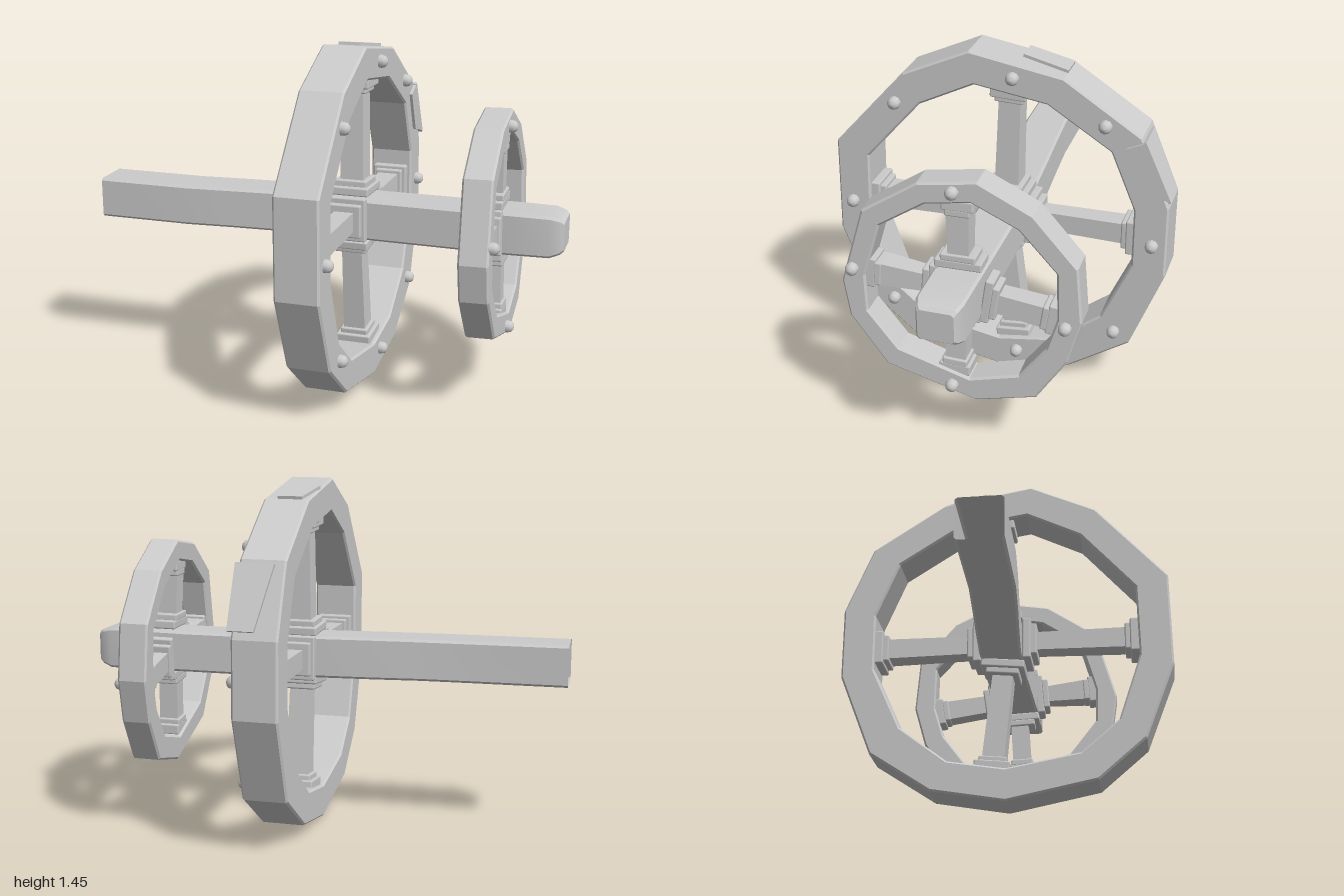
import * as THREE from 'three';
import { toCreasedNormals } from 'three/addons/utils/BufferGeometryUtils.js';
import { RoundedBoxGeometry } from 'three/addons/geometries/RoundedBoxGeometry.js';
import { ConvexGeometry } from 'three/addons/geometries/ConvexGeometry.js';

const grey = new THREE.MeshStandardMaterial({ color: 0xcccccc });
const greyOpen = new THREE.MeshStandardMaterial({ color: 0xcccccc, side: THREE.DoubleSide });
const HUB_Y = 0.72;

function add(parent, name, geometry, material = grey) {
  const mesh = new THREE.Mesh(geometry, material);
  mesh.name = name;
  parent.add(mesh);
  return mesh;
}

// Square beam lofted along x, open at the far end and capped at the tapered tip
function axleGeometry() {
  const sections = [ // x, centre y, centre z, half height, half width
    [-1, 0.72, 0.02, 0.086, 0.09], [-0.6, 0.72, 0.02, 0.086, 0.09],
    [-0.4, 0.722, 0.008, 0.086, 0.09], [-0.2, 0.722, -0.006, 0.087, 0.089],
    [0, 0.722, -0.018, 0.087, 0.088], [0.22, 0.716, -0.018, 0.086, 0.088],
    [0.6, 0.718, -0.012, 0.086, 0.092], [0.78, 0.72, -0.01, 0.088, 0.094],
    [0.945, 0.721, -0.01, 0.086, 0.092], [0.985, 0.723, -0.01, 0.074, 0.08],
    [1, 0.723, -0.01, 0.062, 0.07],
  ];
  const c = 0.01, pos = [], index = [];
  for (const [x, y, z, h, w] of sections) {
    for (const [sy, sz, first] of [[1, 1, 1], [1, -1, 0], [-1, -1, 1], [-1, 1, 0]]) {
      const a = [x, y + sy * (h - c), z + sz * w], b = [x, y + sy * h, z + sz * (w - c)];
      pos.push(...(first ? [...a, ...b] : [...b, ...a]));
    }
  }
  const n = 8, last = (sections.length - 1) * n;
  for (let s = 0; s < sections.length - 1; s++) {
    for (let i = 0; i < n; i++) {
      const a = s * n + i, b = s * n + (i + 1) % n;
      index.push(a, a + n, b, b, a + n, b + n);
    }
  }
  for (let i = 1; i < n - 1; i++) index.push(last, last + i + 1, last + i);
  // Corners run from +z over the top to -z, so reverse the winding to face outward
  for (let i = 0; i < index.length; i += 3) {
    const [a, b, d] = index.slice(i, i + 3).map(k => new THREE.Vector3().fromArray(pos, k * 3));
    const mid = a.clone().add(b).add(d).divideScalar(3);
    const normal = b.sub(a).cross(d.sub(a));
    if (normal.dot(mid.sub(new THREE.Vector3(Math.min(mid.x, 0.9), HUB_Y, 0))) < 0) {
      [index[i + 1], index[i + 2]] = [index[i + 2], index[i + 1]];
    }
  }
  const g = new THREE.BufferGeometry();
  g.setAttribute('position', new THREE.Float32BufferAttribute(pos, 3));
  g.setIndex(index);
  return toCreasedNormals(g, 0.4);
}

// Rim: irregular polygon with a matching hole and a small bevel
function rimGeometry(outer, inner, width) {
  const toPoints = list => list.map(([u, v]) => new THREE.Vector2(u, v - HUB_Y));
  const shape = new THREE.Shape(toPoints(outer));
  shape.holes.push(new THREE.Path(toPoints(inner)));
  const bevel = 0.008;
  const g = new THREE.ExtrudeGeometry(shape, {
    depth: width - 2 * bevel, bevelEnabled: true, bevelSize: bevel,
    bevelThickness: bevel, bevelOffset: -bevel, bevelSegments: 1,
  });
  return g.translate(0, 0, bevel - width / 2);
}

// Spoke running from the hub plates to the rim plates
function addSpoke(parent, hub, end, w0, w1, plate, depth) {
  const spoke = new THREE.Group();
  spoke.name = 'spoke';
  const dx = end[0] - hub[0], dy = end[1] - hub[1], length = Math.hypot(dx, dy);
  spoke.position.set(hub[0], hub[1] - HUB_Y, 0);
  spoke.rotation.z = Math.atan2(-dx, dy);
  const bar = new THREE.BoxGeometry(1, length, 1).translate(0, length / 2, 0);
  const p = bar.attributes.position;
  for (let i = 0; i < p.count; i++) {
    const w = p.getY(i) > length / 2 ? w1 : w0;
    p.setXYZ(i, p.getX(i) * w, p.getY(i), p.getZ(i) * w);
  }
  bar.computeVertexNormals();
  add(spoke, 'spokeBar', bar);
  const plates = [
    ['hubPlate', 0.006, 0.185, 0.036], ['hubStep', 0.034, 0.14, 0.03],
    ['rimPlate', length - 0.02, plate, 0.045], ['rimStep', length - 0.05, plate * 0.8, 0.03],
  ];
  for (const [name, y, w, h] of plates) {
    add(spoke, name, new RoundedBoxGeometry(w, h, Math.min(w, depth), 1, 0.007)).position.y = y;
  }
  parent.add(spoke);
}

// Domed bolt heads on the outer face
function addBolts(parent, spots, face, radius) {
  const profile = [[1, -0.4], [1, 0.4], [0.85, 0.9], [0.5, 1.2], [0, 1.3]]
    .map(([r, h]) => new THREE.Vector2(r * radius, h * radius));
  const dome = new THREE.LatheGeometry(profile, 10).rotateX(Math.PI / 2);
  for (const [u, v] of spots) add(parent, 'bolt', dome).position.set(u, v - HUB_Y, face);
}

// Wheel is laid out in its own plane, then turned so its face looks along +x
function makeWheel(name, x, tilt, o) {
  const wheel = new THREE.Group(), plane = new THREE.Group();
  wheel.name = name;
  plane.name = name + 'Plane';
  wheel.position.set(x, HUB_Y, 0);
  wheel.rotation.y = Math.PI / 2;
  plane.rotation.set(tilt[0], tilt[1], 0);
  wheel.add(plane);
  add(plane, 'rim', rimGeometry(o.outer, o.inner, o.width));
  for (const [hub, end, w0, w1] of o.spokes) addSpoke(plane, hub, end, w0, w1, o.plate, o.width - 0.02);
  addBolts(plane, o.bolts, o.width / 2, o.boltRadius);
  return { wheel, plane };
}

// Thin plate spanned by four corners and thickened along a direction
function addPatch(parent, name, corners, offset) {
  const d = new THREE.Vector3(...offset);
  const base = corners.map(([u, v, w]) => new THREE.Vector3(u, v - HUB_Y, w));
  add(parent, name, new ConvexGeometry([...base, ...base.map(p => p.clone().add(d))]));
}

export function createModel() {
  const model = new THREE.Group();
  model.name = 'axleWithWheels';
  add(model, 'axle', axleGeometry(), greyOpen);

  const large = makeWheel('largeWheel', 0.112, [-0.007, -0.014], {
    width: 0.185, plate: 0.15, boltRadius: 0.027,
    outer: [[-0.12, 1.45], [-0.4, 1.32], [-0.7, 0.98], [-0.705, 0.57], [-0.58, 0.25], [-0.38, 0.08], [0, 0.005],
      [0.31, 0.06], [0.565, 0.23], [0.7, 0.58], [0.7, 0.89], [0.58, 1.18], [0.265, 1.385]],
    inner: [[-0.1, 1.31], [-0.33, 1.195], [-0.56, 0.93], [-0.565, 0.615], [-0.47, 0.335], [-0.31, 0.2], [0, 0.145],
      [0.24, 0.185], [0.44, 0.34], [0.56, 0.61], [0.56, 0.86], [0.46, 1.1], [0.2, 1.265]],
    spokes: [[[0.02, 0.825], [0.035, 1.3], 0.1, 0.088], [[-0.085, 0.725], [-0.57, 0.72], 0.08, 0.09],
      [[0.115, 0.72], [0.57, 0.72], 0.08, 0.09], [[0.01, 0.62], [0.06, 0.145], 0.085, 0.095]],
    bolts: [[0.06, 1.36], [-0.435, 1.19], [0.435, 1.21], [-0.64, 0.71], [0.64, 0.715],
      [-0.473, 0.258], [0.5, 0.28], [0.08, 0.096]],
  });
  model.add(large.wheel);

  const small = makeWheel('smallWheel', 0.705, [-0.022, 0.024], {
    width: 0.12, plate: 0.125, boltRadius: 0.026,
    outer: [[0.09, 1.195], [-0.14, 1.16], [-0.36, 1.015], [-0.45, 0.7], [-0.425, 0.545], [-0.28, 0.345], [0.08, 0.24],
      [0.32, 0.3], [0.44, 0.485], [0.49, 0.665], [0.47, 0.895], [0.3, 1.09]],
    inner: [[0.065, 1.105], [-0.11, 1.077], [-0.29, 0.96], [-0.355, 0.735], [-0.35, 0.58], [-0.23, 0.427], [0.055, 0.338],
      [0.25, 0.39], [0.355, 0.53], [0.395, 0.665], [0.39, 0.86], [0.245, 1.02]],
    spokes: [[[0.01, 0.825], [0.01, 1.1], 0.08, 0.09], [[-0.085, 0.725], [-0.36, 0.745], 0.07, 0.1],
      [[0.115, 0.69], [0.395, 0.65], 0.08, 0.09], [[0.005, 0.62], [-0.01, 0.345], 0.08, 0.08]],
    bolts: [[-0.003, 1.142], [-0.404, 0.761], [0.427, 0.638], [-0.014, 0.3]],
  });
  model.add(small.wheel);

  // Repair plates on the large rim: one folded over its edge, one on top
  addPatch(large.plane, 'facePatch',
    [[0.52, 1.13, 0.09], [0.597, 1.165, 0.09], [0.708, 0.925, 0.09], [0.585, 0.96, 0.09]], [0, 0, 0.015]);
  addPatch(large.plane, 'edgePatch',
    [[0.586, 1.165, 0.105], [0.697, 0.92, 0.105], [0.697, 0.92, 0.0], [0.586, 1.165, -0.05]], [0.012, 0.005, 0]);
  addPatch(large.plane, 'topPatch',
    [[0.075, 1.415, -0.09], [0.265, 1.383, -0.065], [0.265, 1.383, 0.035], [0.075, 1.415, 0.005]], [0.003, 0.014, 0]);
  return model;
}
